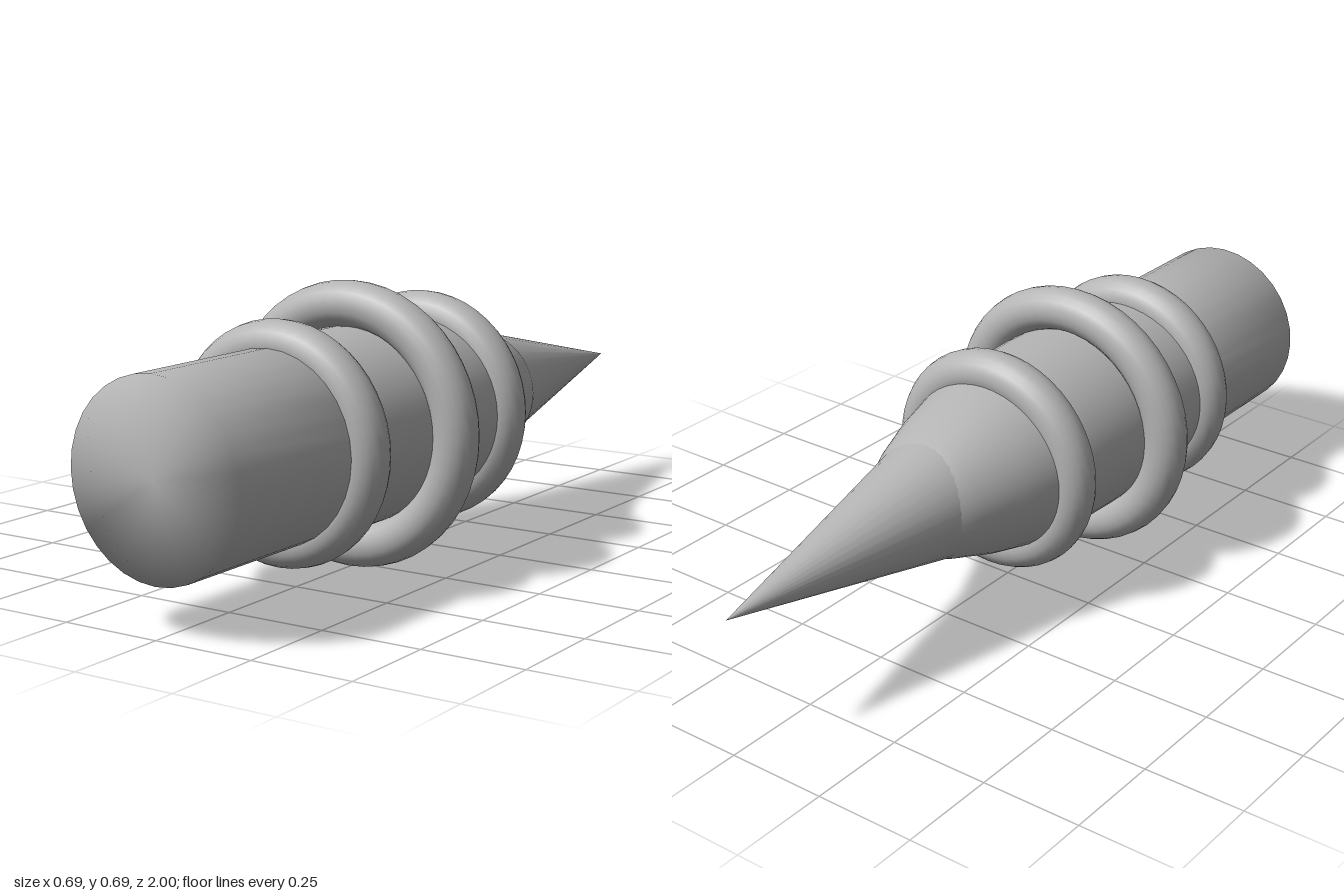
import * as THREE from 'three';
import { mergeVertices } from 'three/addons/utils/BufferGeometryUtils.js';

const AXIS_Y = 0.345;

// Weld a geometry so that its normals run smoothly over every edge
function smooth(geometry) {
  geometry.deleteAttribute('normal');
  geometry.deleteAttribute('uv');
  const welded = mergeVertices(geometry, 1e-4);
  welded.computeVertexNormals();
  return welded;
}

export function createModel() {
  const group = new THREE.Group();
  const grey = new THREE.MeshStandardMaterial({ color: 0xb4b4b4 });
  grey.name = 'grey';

  function add(name, geometry, z = 0) {
    const mesh = new THREE.Mesh(geometry, grey);
    mesh.name = name;
    mesh.position.set(0, AXIS_Y, z);
    group.add(mesh);
    return mesh;
  }

  // Blunt front cylinder with softly shaded cap
  const handle = new THREE.CylinderGeometry(0.226, 0.226, 0.5, 32).rotateX(Math.PI / 2);
  add('handle', smooth(handle), 0.75).position.x = 0.003;

  // Swollen barrel, a little wider than tall: [radius, z]
  const profile = [
    [0, -0.45], [0.07, -0.44], [0.12, -0.38], [0.152, -0.31], [0.188, -0.2],
    [0.212, -0.1], [0.225, -0.02], [0.232, 0.06], [0.236, 0.2], [0.235, 0.33],
    [0.229, 0.5], [0.222, 0.56], [0, 0.58],
  ].map(([r, z]) => new THREE.Vector2(r, z));
  const barrel = new THREE.LatheGeometry(profile, 48).rotateX(Math.PI / 2);
  barrel.scale(1.075, 1, 1);
  add('barrel', barrel);

  // Pointed tip towards the back
  const tip = new THREE.ConeGeometry(0.163, 0.745, 32, 1, true).rotateX(-Math.PI / 2);
  add('tip', tip, -0.6225);

  // Three rings around the barrel
  for (const [name, radius, z] of [
    ['frontRing', 0.23, 0.55], ['middleRing', 0.288, 0.27], ['backRing', 0.23, -0.045],
  ]) {
    add(name, new THREE.TorusGeometry(radius, 0.055, 20, 48), z);
  }

  return group;
}
